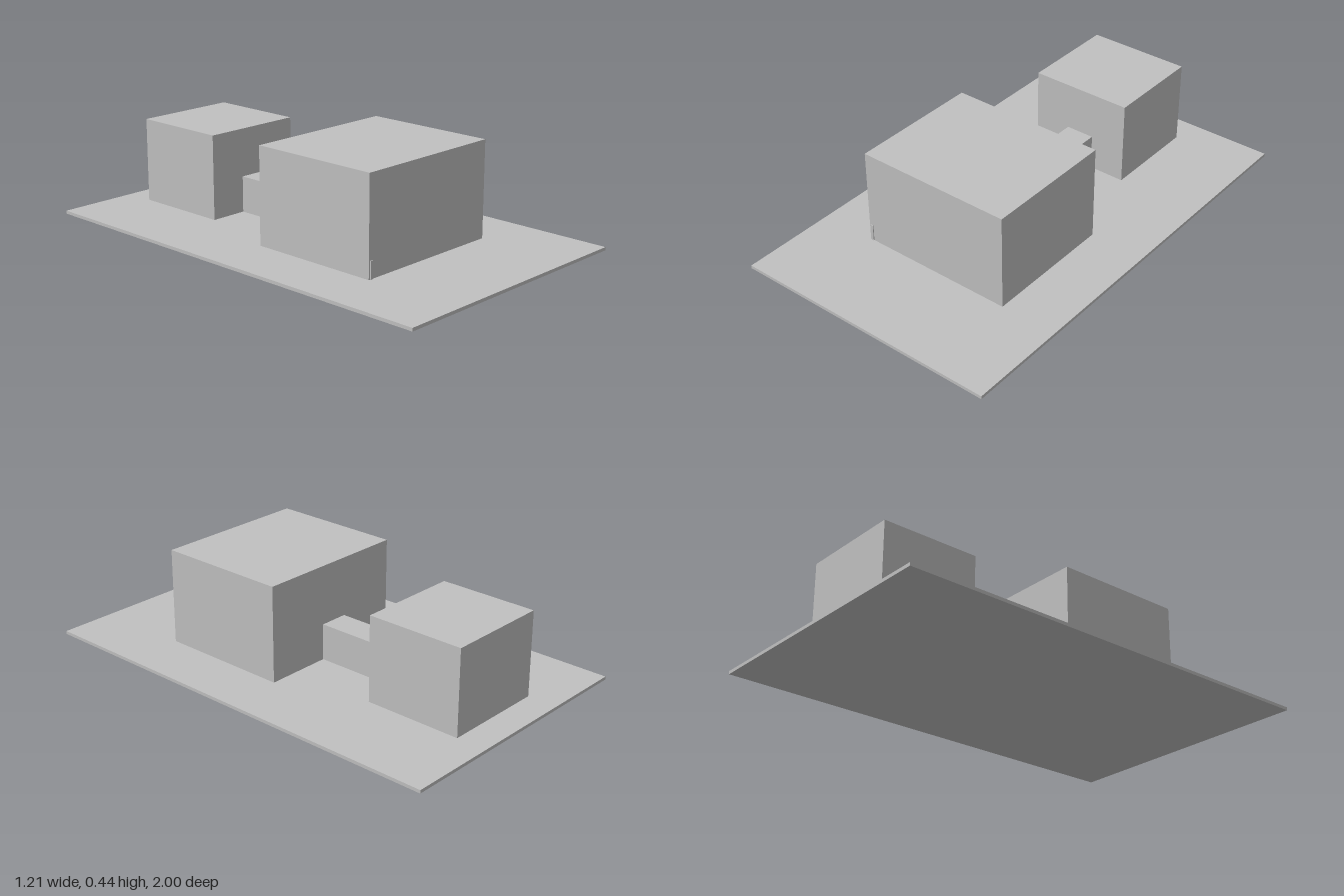
import * as THREE from 'three';

export function createModel() {
  const model = new THREE.Group();
  model.name = 'buildingSite';
  const grey = new THREE.MeshStandardMaterial({ color: 0xc0c0c0 });
  grey.name = 'light grey';

  // Box given by its extents along each axis
  function block(name, [x0, x1], [y0, y1], [z0, z1]) {
    const mesh = new THREE.Mesh(new THREE.BoxGeometry(x1 - x0, y1 - y0, z1 - z0), grey);
    mesh.name = name;
    mesh.position.set((x0 + x1) / 2, (y0 + y1) / 2, (z0 + z1) / 2);
    model.add(mesh);
  }

  const ground = 0.014;
  // Thin plot the buildings stand on
  block('groundSlab', [-0.607, 0.607], [0, ground], [-1, 1]);
  // Large front building, small rear building and the passage joining them
  block('mainBuilding', [-0.352, 0.352], [ground, 0.438], [-0.029, 0.566]);
  block('rearBuilding', [-0.247, 0.219], [ground, 0.39], [-0.866, -0.425]);
  block('connectingPassage', [-0.077, 0.054], [ground, 0.175], [-0.425, -0.029]);
  // Narrow strip at the front corner
  block('cornerStrip', [-0.345, -0.333], [ground, 0.09], [0.566, 0.57]);

  return model;
}
